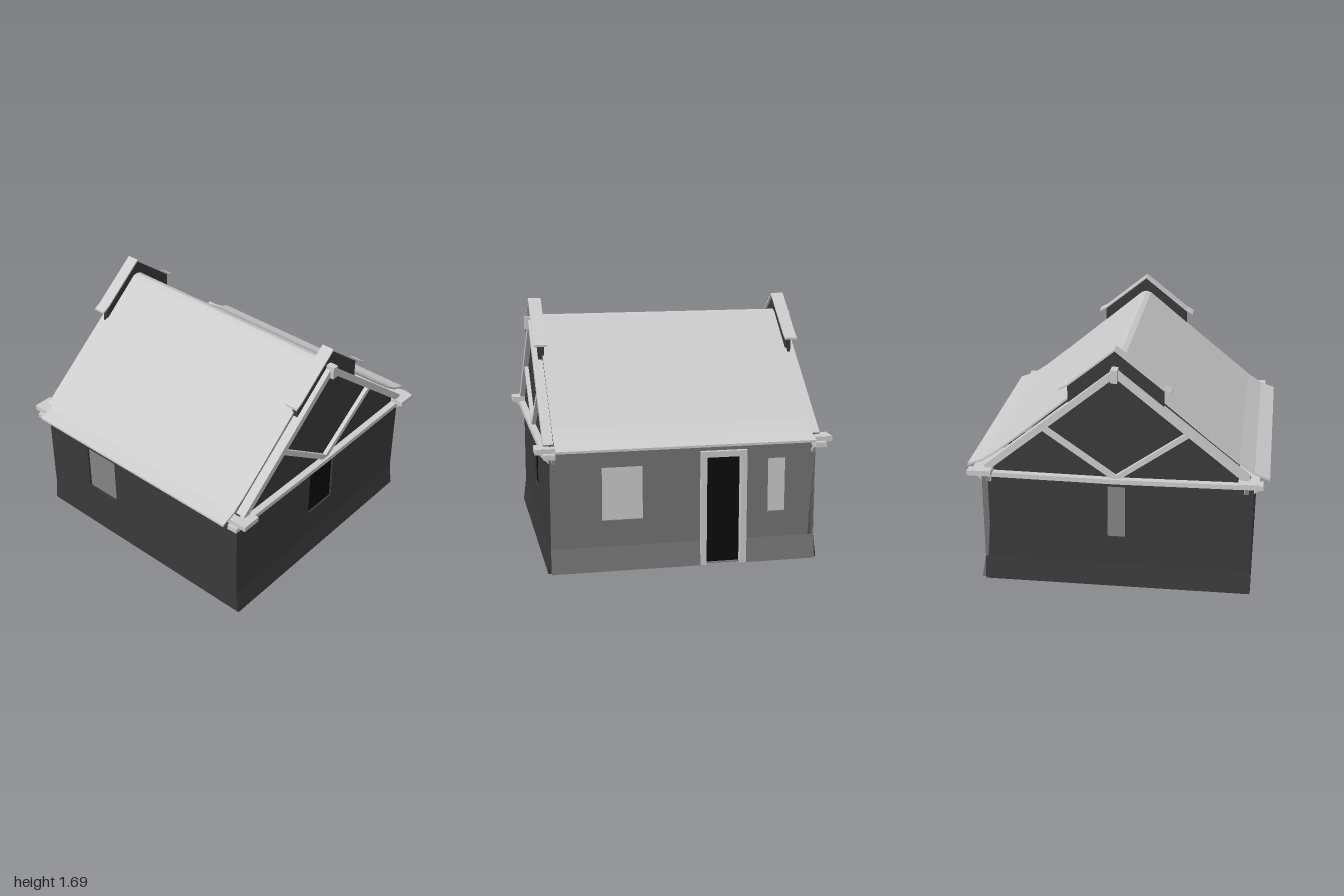
import * as THREE from 'three';

const material = color => new THREE.MeshStandardMaterial({ color, side: THREE.DoubleSide });
const grey = material(0xcccccc);
const darkWall = material(0x3a3a3a);
const paleWall = material(0x747474);
const paneGrey = material(0x848484);
const black = material(0x0c0c0c);

export function createModel() {
  const house = new THREE.Group();
  house.name = 'house';

  const add = (name, geometry, surface = grey) => {
    const mesh = new THREE.Mesh(geometry, surface);
    mesh.name = name;
    house.add(mesh);
    return mesh;
  };

  // box given by its two corners on each axis
  const box = (name, x0, x1, y0, y1, z0, z1, surface) => {
    const mesh = add(name, new THREE.BoxGeometry(Math.abs(x1 - x0), y1 - y0, Math.abs(z1 - z0)), surface);
    mesh.position.set((x0 + x1) / 2, (y0 + y1) / 2, (z0 + z1) / 2);
  };

  // square-cut timber between two points
  const timber = (name, a, b, width, height) => {
    const from = new THREE.Vector3(...a), to = new THREE.Vector3(...b);
    const mesh = add(name, new THREE.BoxGeometry(width, height, from.distanceTo(to)));
    mesh.position.copy(from).add(to).multiplyScalar(0.5);
    mesh.lookAt(to);
  };

  const toVectors = points => points.map(p => new THREE.Vector2(...p));
  const extrude = (points, holes, depth) => {
    const shape = new THREE.Shape(toVectors(points));
    for (const [u0, u1, v0, v1] of holes) {
      shape.holes.push(new THREE.Path(toVectors([[u0, v0], [u0, v1], [u1, v1], [u1, v0]])));
    }
    return new THREE.ExtrudeGeometry(shape, { depth, bevelEnabled: false });
  };

  // (z, y) outline swept along x
  const sweepX = (name, points, x0, x1, surface, holes = []) =>
    add(name, extrude(points, holes, x1 - x0).rotateY(-Math.PI / 2).translate(x1, 0, 0), surface);

  // (x, y) outline swept along z
  const sweepZ = (name, points, z0, z1, surface, holes = []) =>
    add(name, extrude(points, holes, z1 - z0).translate(0, 0, z0), surface);

  // thin folded roof: half profile mirrored about the ridge
  const foldedRoof = (name, half, thickness, x0, x1) => {
    const top = [...half.map(([z, y]) => [-z, y]).reverse(), ...half.slice(1)];
    const under = top.map(([z, y]) => [z, y - thickness]).reverse();
    sweepX(name, [...top, ...under], x0, x1, grey);
  };

  // long walls with window and door openings
  const wallOutline = [[-0.885, 0], [0.885, 0], [0.885, 0.82], [-0.885, 0.82]];
  const frontWindow = [-0.505, -0.235, 0.335, 0.68];
  const backWindows = [[0.28, 0.55, 0.335, 0.69], [-0.68, -0.56, 0.335, 0.7]];
  const door = [-0.38, -0.13, 0.005, 0.74];
  sweepZ('frontWall', wallOutline, 0.86, 0.9, darkWall, [frontWindow]);
  sweepZ('backWall', wallOutline, -0.9, -0.86, paleWall, [...backWindows, door]);

  // panes and door leaf, set slightly back
  box('frontPane', ...frontWindow, 0.87, 0.885, paneGrey);
  for (const pane of backWindows) box('backPane', ...pane, -0.885, -0.87, grey);
  box('doorLeaf', ...door, -0.88, -0.865, black);

  // door frame
  box('doorPost', -0.41, -0.37, 0, 0.74, -0.93, -0.87);
  box('doorPost', -0.14, -0.1, 0, 0.74, -0.93, -0.87);
  box('doorLintel', -0.41, -0.1, 0.73, 0.77, -0.93, -0.87);

  // flared foot of the back wall, left and right of the door
  const backFoot = [[-0.89, 0], [-0.93, 0], [-0.9, 0.16]];
  sweepX('backFoot', backFoot, -0.885, -0.41, paleWall);
  sweepX('backFoot', backFoot, -0.1, 0.885, paleWall);

  // main roof with a rounded ridge and softly flattening eaves
  const roofHalf = [[0, 1.576], [0.035, 1.566], [0.6, 1.096], [0.8, 0.935], [0.9, 0.868], [1, 0.832]];
  foldedRoof('roof', roofHalf, 0.015, -0.855, 0.855);

  // ridge beam
  box('ridgeBeam', -0.965, 0.945, 1.48, 1.565, -0.022, 0.022);

  // wall plates carrying the eaves
  box('frontPlate', -0.985, 0.98, 0.805, 0.84, 0.8, 0.935);
  box('backPlate', -0.985, 0.98, 0.805, 0.84, -0.945, -0.815);

  for (const side of [-1, 1]) {
    const span = (a, b) => (side > 0 ? [a, b] : [-b, -a]);

    // gable wall rising through the roof under the cap
    const half = [[0.9, 0], [0.9, 0.82], [0.86, 0.855], [0.31, 1.29], [0.31, 1.435], [0, 1.675]];
    const gable = [...half, ...half.slice(0, -1).reverse().map(([z, y]) => [-z, y])];
    const opening = side > 0 ? [-0.13, 0.13, 0.36, 0.73] : [-0.06, 0.06, 0.36, 0.73];
    sweepX('gableWall', gable, ...span(0.845, 0.885), darkWall, [opening]);
    box('gablePane', side * 0.855, side * 0.87, opening[2], opening[3], opening[0], opening[1],
      side > 0 ? black : paneGrey);

    // flared foot of the gable wall
    const foot = [[side * 0.875, 0], [side * 0.905, 0], [side * 0.885, 0.16]];
    sweepZ('gableFoot', foot, -0.9, 0.9, darkWall);

    // small cap roof over the ridge end
    foldedRoof('ridgeCap', [[0, 1.69], [0.31, 1.442], [0.36, 1.415]], 0.014, ...span(0.83, 0.917));

    const x = side * 0.893;
    for (const end of [-1, 1]) {
      // truss: tie beam sagging at the middle, rafters and braces
      timber('tieBeam', [x, 0.785, 0], [x, 0.795, end > 0 ? 0.96 : -0.99], 0.075, 0.032);
      timber('rafter', [side * 0.888, 1.53, 0], [side * 0.888, 0.835, end * 0.86], 0.065, 0.045);
      timber('gableBrace', [x, 0.8, 0], [x, 1.13, end * 0.47], 0.04, 0.035);

      // corner peg and small struts below the eaves
      box('cornerPeg', side * 0.845, side * 0.895, 0.73, 0.79, end * 0.835, end * 0.865);
      timber('eavesStrut', [side * 0.865, 0.72, end * 0.88], [side * 0.865, 0.785, end * 0.955], 0.022, 0.018);
      timber('gableStrut', [side * 0.87, 0.72, end * 0.85], [side * 0.95, 0.8, end * 0.85], 0.022, 0.018);
    }
  }

  return house;
}
